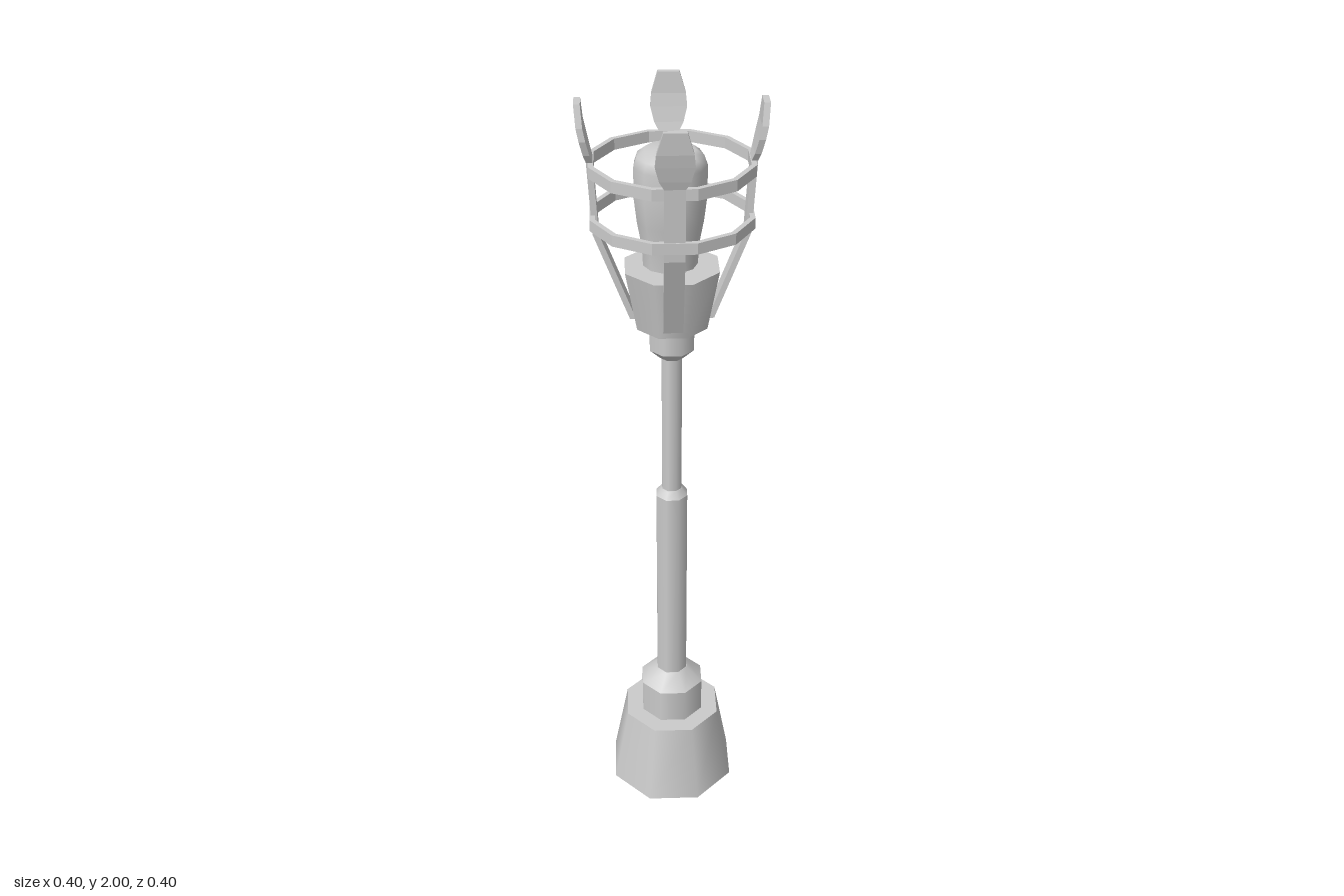
import * as THREE from 'three';

const material = new THREE.MeshStandardMaterial({ color: 0xcccccc });
const flatMaterial = new THREE.MeshStandardMaterial({ color: 0xcccccc, flatShading: true });

function addMesh(parent, name, geometry, mat = material) {
  const mesh = new THREE.Mesh(geometry, mat);
  mesh.name = name;
  parent.add(mesh);
  return mesh;
}

// Octagonal section with flats on the axes; widths are measured to the flats
function addDrum(parent, name, halfBottom, halfTop, y0, y1) {
  const k = 1 / Math.cos(Math.PI / 8);
  const g = new THREE.CylinderGeometry(halfTop * k, halfBottom * k, y1 - y0, 8);
  g.rotateY(Math.PI / 8).translate(0, (y0 + y1) / 2, 0);
  return addMesh(parent, name, g);
}

// Twelve-sided flat band, with a vertex on each axis
function bandGeometry(outer, inner, y0, y1) {
  const profile = [[inner, y0], [outer, y0], [outer, y1], [inner, y1], [inner, y0]];
  return new THREE.LatheGeometry(profile.map(([r, y]) => new THREE.Vector2(r, y)), 12);
}

// Bent strap ending in a leaf: rectangular sections at [radius, height, half width]
function prongGeometry(stations, thickness) {
  const positions = [];
  const index = [];
  const t = thickness / 2;
  for (const [r, y, w] of stations) {
    positions.push(-w, y, r + t, w, y, r + t, w, y, r - t, -w, y, r - t);
  }
  for (let s = 0; s < stations.length - 1; s++) {
    for (let i = 0; i < 4; i++) {
      const a = s * 4 + i;
      const b = s * 4 + (i + 1) % 4;
      index.push(a, b, b + 4, a, b + 4, a + 4);
    }
  }
  const e = (stations.length - 1) * 4;
  index.push(0, 2, 1, 0, 3, 2, e, e + 1, e + 2, e, e + 2, e + 3);
  const g = new THREE.BufferGeometry();
  g.setAttribute('position', new THREE.Float32BufferAttribute(positions, 3));
  g.setIndex(index);
  g.computeVertexNormals();
  return g;
}

export function createModel() {
  const model = new THREE.Group();
  model.name = 'torchLamp';

  // Foot, post and cup, from the ground up
  const sections = [
    ['base', 0.167, 0.127, 0, 0.226],
    ['baseCollar', 0.083, 0.083, 0.226, 0.325],
    ['collarTaper', 0.083, 0.041, 0.325, 0.366],
    ['lowerPole', 0.04, 0.04, 0.366, 0.95],
    ['poleTaper', 0.04, 0.026, 0.95, 0.97],
    ['upperPole', 0.025, 0.025, 0.97, 1.357],
    ['neckFlare', 0.03, 0.054, 1.357, 1.382],
    ['neck', 0.054, 0.054, 1.382, 1.447],
    ['cup', 0.085, 0.112, 1.447, 1.6],
  ];
  for (const s of sections) addDrum(model, ...s);

  // Torch head, slightly off centre
  const headProfile = [
    [0.066, 1.59], [0.069, 1.65], [0.08, 1.71], [0.087, 1.77],
    [0.087, 1.845], [0.079, 1.868], [0.06, 1.882], [0, 1.888],
  ].map(([r, y]) => new THREE.Vector2(r, y));
  const head = addMesh(model, 'torchHead', new THREE.LatheGeometry(headProfile, 11));
  head.position.set(-0.012, 0, -0.007);

  // Two bands round the prongs
  addMesh(model, 'upperBand', bandGeometry(0.198, 0.185, 1.838, 1.865), flatMaterial);
  addMesh(model, 'lowerBand', bandGeometry(0.198, 0.185, 1.711, 1.738), flatMaterial);

  // Four leaf-tipped prongs on the diagonals
  const prong = prongGeometry([
    [0.094, 1.47, 0.024], [0.178, 1.69, 0.024], [0.188, 1.865, 0.024],
    [0.194, 1.885, 0.035], [0.202, 1.92, 0.044], [0.208, 1.95, 0.041], [0.212, 2, 0.026],
  ], 0.015);
  for (let i = 0; i < 4; i++) {
    const mesh = addMesh(model, 'prong' + (i + 1), prong, flatMaterial);
    mesh.rotation.y = Math.PI / 4 + i * Math.PI / 2;
  }

  return model;
}
